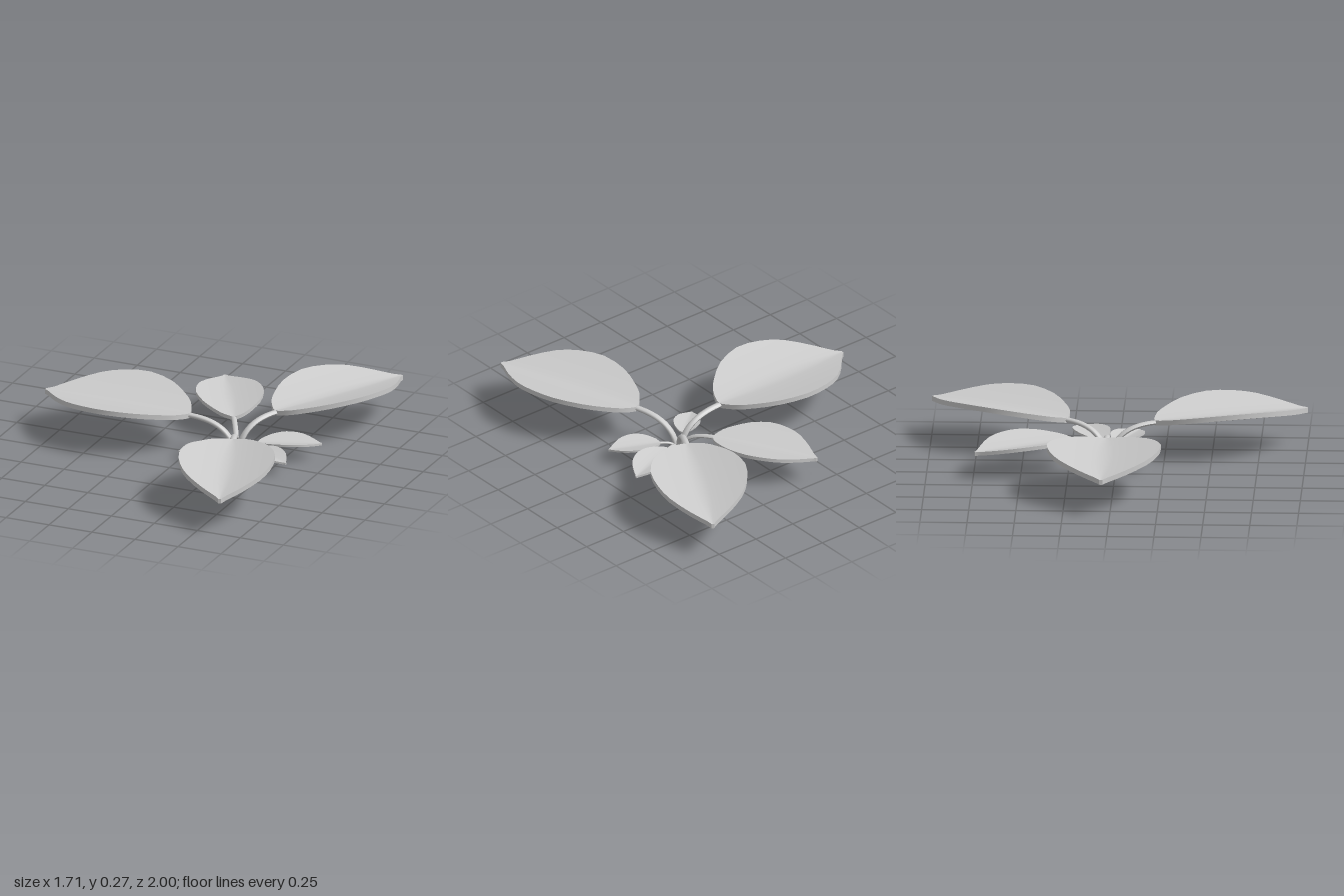
import * as THREE from 'three';

const material = new THREE.MeshStandardMaterial({ color: 0xcccccc, side: THREE.DoubleSide });

// Half outline of a leaf blade: x = fraction of length, y = fraction of half width
const outline = new THREE.SplineCurve([
  [0, 0.07], [0.045, 0.34], [0.127, 0.58], [0.253, 0.84], [0.43, 1],
  [0.6, 0.94], [0.74, 0.76], [0.87, 0.42], [0.96, 0.12], [1, 0.03],
].map(([x, y]) => new THREE.Vector2(x, y)));

// Blade along +x, its underside midrib at y = 0, sides cupped upwards by lift
function bladeGeometry(length, halfWidth, thick, lift) {
  const g = new THREE.BoxGeometry(1, 1, 1, 18, 1, 12);
  const p = g.attributes.position;
  for (let i = 0; i < p.count; i++) {
    const o = outline.getPoint(p.getX(i) + 0.5);
    const across = p.getZ(i) * 2 * o.y;
    const rise = lift * Math.pow(Math.abs(across), 1.2);
    p.setXYZ(i, o.x * length, (p.getY(i) + 0.5) * thick + rise, across * halfWidth);
  }
  g.computeVertexNormals();
  return g;
}

// Stalk rising from the ground and bending outwards to the blade
function stalkGeometry(reach, height, radius) {
  const start = radius * 0.8;
  const path = new THREE.QuadraticBezierCurve3(
    new THREE.Vector3(start, 0, 0),
    new THREE.Vector3(start + reach * 0.05, height, 0),
    new THREE.Vector3(reach + radius, height, 0),
  );
  const g = new THREE.TubeGeometry(path, 14, radius, 8);
  g.scale(1, 1, 1.4);
  g.computeVertexNormals();
  return g;
}

const leaves = [
  // angle in degrees, reach, blade length, half width, underside y, thickness, lift, stalk radius
  { name: 'largeLeafRight', angle: 180, reach: 0.275, length: 0.836, half: 0.302, y: 0.173, thick: 0.027, lift: 0.066, radius: 0.013 },
  { name: 'largeLeafBack', angle: 60.8, reach: 0.254, length: 0.836, half: 0.255, y: 0.173, thick: 0.027, lift: 0.066, radius: 0.013 },
  { name: 'largeLeafFront', angle: -70.5, reach: 0.26, length: 0.848, half: 0.255, y: 0.173, thick: 0.027, lift: 0.066, radius: 0.013 },
  { name: 'mediumLeafBack', angle: 118.8, reach: 0.2, length: 0.593, half: 0.18, y: 0.125, thick: 0.02, lift: 0.042, radius: 0.01 },
  { name: 'smallLeafBack', angle: 21, reach: 0.112, length: 0.34, half: 0.097, y: 0.071, thick: 0.012, lift: 0.025, radius: 0.006 },
  { name: 'smallLeafFront', angle: -23.5, reach: 0.104, length: 0.283, half: 0.086, y: 0.065, thick: 0.011, lift: 0.022, radius: 0.006 },
  { name: 'tinyLeafFront', angle: -141, reach: 0.1, length: 0.22, half: 0.071, y: 0.052, thick: 0.009, lift: 0.016, radius: 0.005 },
];

export function createModel() {
  const plant = new THREE.Group();
  plant.name = 'plant';
  for (const l of leaves) {
    const leaf = new THREE.Group();
    leaf.name = l.name;

    const blade = new THREE.Mesh(bladeGeometry(l.length, l.half, l.thick, l.lift), material);
    blade.name = 'blade';
    blade.position.set(l.reach, l.y, 0);

    const stalk = new THREE.Mesh(stalkGeometry(l.reach, l.y + l.thick * 0.55, l.radius), material);
    stalk.name = 'stalk';

    leaf.add(blade, stalk);
    leaf.position.set(0.259, 0, -0.046);
    leaf.rotation.y = THREE.MathUtils.degToRad(l.angle);
    plant.add(leaf);
  }
  return plant;
}
